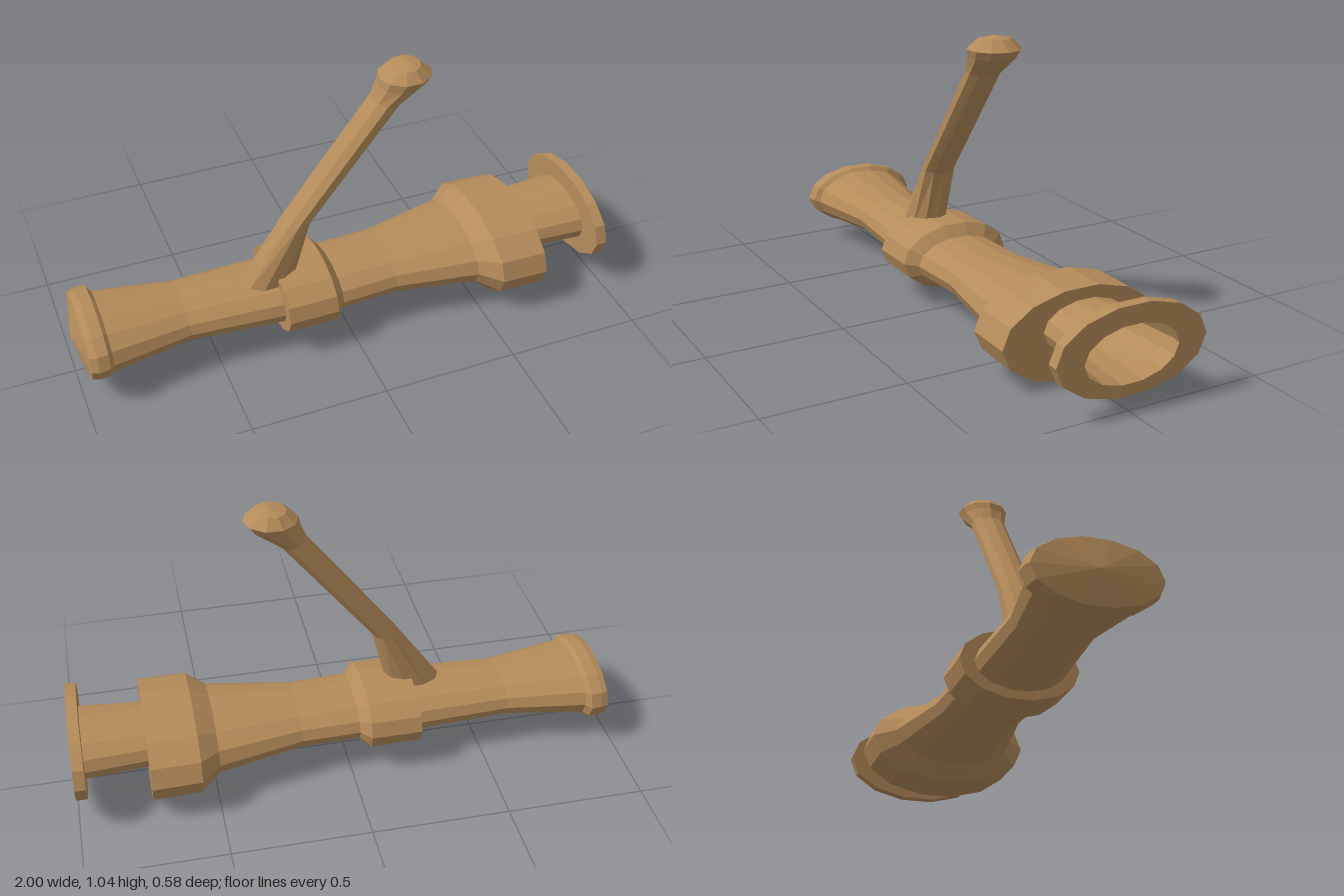
import * as THREE from 'three';

// Skin a row of rings; each ring is { c, u, v } = centre and two half-axes.
function loft(rings, sides) {
  const pos = [], idx = [];
  for (const { c, u, v } of rings) {
    for (let j = 0; j < sides; j++) {
      const a = (j / sides) * Math.PI * 2;
      const p = c.clone().addScaledVector(u, Math.cos(a)).addScaledVector(v, Math.sin(a));
      pos.push(p.x, p.y, p.z);
    }
  }
  for (let i = 0; i < rings.length - 1; i++) {
    for (let j = 0; j < sides; j++) {
      const k = (j + 1) % sides;
      const A = i * sides + j, C = i * sides + k, B = A + sides, D = C + sides;
      idx.push(A, B, C, B, D, C);
    }
  }
  const g = new THREE.BufferGeometry();
  g.setAttribute('position', new THREE.Float32BufferAttribute(pos, 3));
  g.setIndex(idx);
  const flat = g.toNonIndexed();
  flat.computeVertexNormals();
  return flat;
}

// Upright oval ring across the barrel: x, lowest y, highest y, back z, front z
function barrelRing([x, y0, y1, z0, z1]) {
  return {
    c: new THREE.Vector3(x, (y0 + y1) / 2, (z0 + z1) / 2),
    u: new THREE.Vector3(0, 0, (z1 - z0) / 2),
    v: new THREE.Vector3(0, (y1 - y0) / 2 / 0.975, 0),
  };
}

// Ring across the handle: left x, y, right x, y, half depth, centre z
function handleRing([x0, y0, x1, y1, rz, z = 0.033]) {
  return {
    c: new THREE.Vector3((x0 + x1) / 2, (y0 + y1) / 2, z),
    u: new THREE.Vector3((x1 - x0) / 2, (y1 - y0) / 2, 0),
    v: new THREE.Vector3(0, 0, rz),
  };
}

export function createModel() {
  const group = new THREE.Group();
  const wood = new THREE.MeshStandardMaterial({ color: 0xb58c5a, side: THREE.DoubleSide, flatShading: true });
  wood.name = 'wood';

  const add = (name, rings, sides) => {
    const mesh = new THREE.Mesh(loft(rings, sides), wood);
    mesh.name = name;
    group.add(mesh);
  };

  // Stations where neighbouring barrel parts meet
  const capRim = [-0.97, 0.07, 0.283, -0.2, 0.212];
  const rearEnd = [-0.89, 0.07, 0.277, -0.18, 0.2];
  const collarBack = [-0.255, 0.08, 0.257, -0.145, 0.172];
  const collarFront = [-0.035, 0.082, 0.25, -0.15, 0.18];
  const bellStart = [0.49, 0.06, 0.275, -0.225, 0.22];
  const bellFace = [0.737, 0.005, 0.315, -0.295, 0.29];
  const tubeStart = [0.737, 0.105, 0.275, -0.17, 0.14];
  const tubeEnd = [0.96, 0.1, 0.285, -0.19, 0.157];

  // Hollow barrel, from the closed end to the open mouth
  const barrel = {
    endCap: [[-1, 0.175, 0.175, 0.005, 0.005], capRim],
    endBand: [capRim, [-0.945, 0.065, 0.29, -0.208, 0.222],
      [-0.905, 0.065, 0.29, -0.212, 0.218], rearEnd],
    rearBarrel: [rearEnd, [-0.6, 0.095, 0.25, -0.135, 0.15], collarBack],
    collar: [collarBack, [-0.255, 0.05, 0.29, -0.197, 0.222],
      [-0.07, 0.05, 0.29, -0.197, 0.222], collarFront],
    frontBarrel: [collarFront, [0.18, 0.085, 0.25, -0.155, 0.17], bellStart],
    bell: [bellStart, [0.56, 0.012, 0.315, -0.295, 0.29], bellFace, tubeStart],
    mouthTube: [tubeStart, tubeEnd],
    mouthFlange: [tubeEnd, [0.96, 0.055, 0.35, -0.292, 0.265],
      [1, 0.055, 0.35, -0.292, 0.265], [1, 0.095, 0.286, -0.187, 0.165], tubeEnd],
  };
  for (const [name, rows] of Object.entries(barrel)) add(name, rows.map(barrelRing), 14);

  // Slanted handle with a bend near its foot
  const neck = [0.12, 0.92, 0.22, 0.9, 0.065];
  add('handle', [
    [-0.385, 0.235, -0.175, 0.235, 0.068],
    [-0.2, 0.5, -0.115, 0.475, 0.063],
    neck,
  ].map(handleRing), 10);

  // Domed knob on the handle
  add('handleKnob', [
    neck,
    [0.14, 0.97, 0.315, 0.97, 0.082],
    [0.145, 0.997, 0.337, 1.0, 0.092],
    [0.185, 1.03, 0.295, 1.035, 0.06],
    [0.245, 1.045, 0.245, 1.045, 0],
  ].map(handleRing), 10);

  return group;
}
